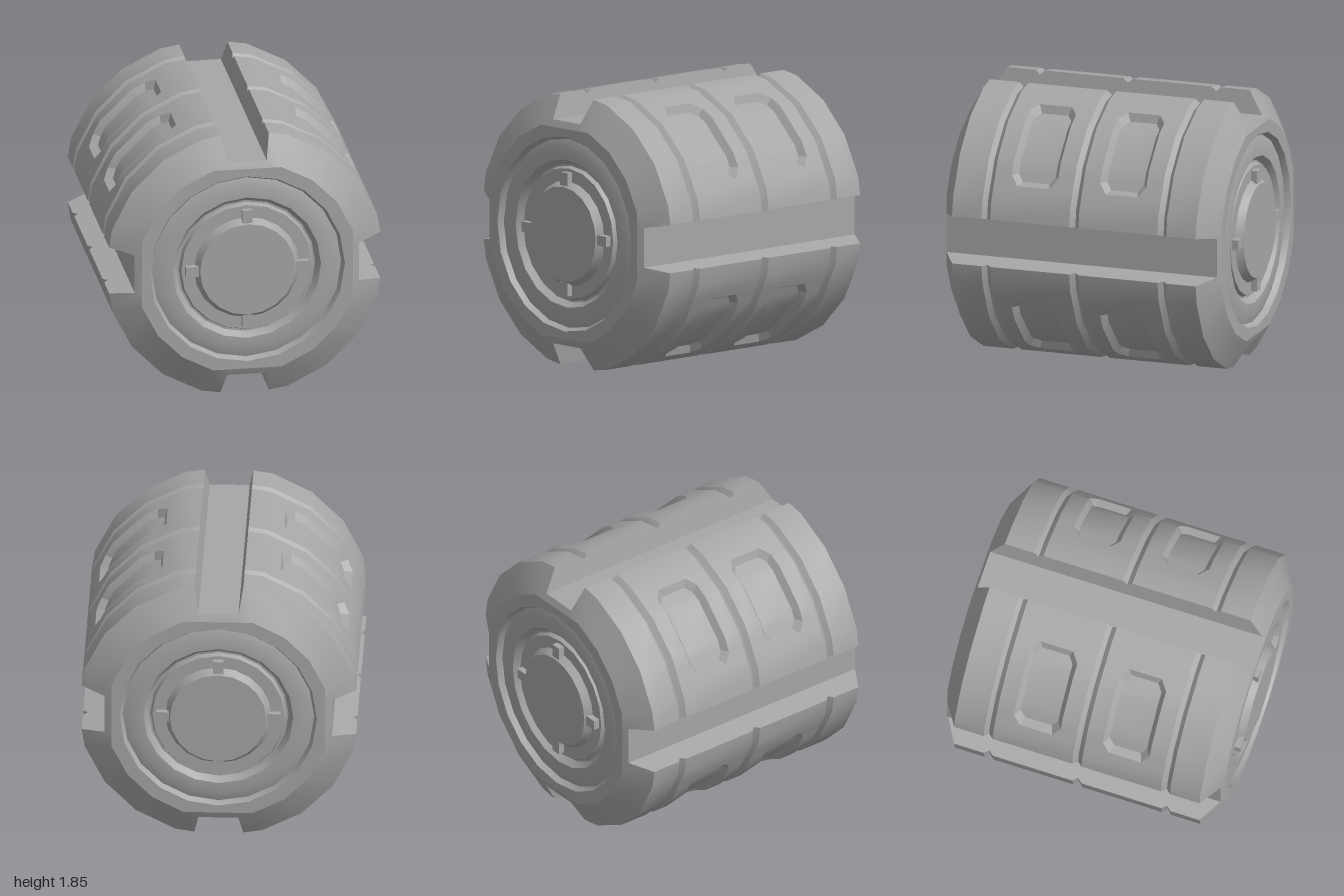
import * as THREE from 'three';
import { toCreasedNormals } from 'three/addons/utils/BufferGeometryUtils.js';

const R = 0.95, END_R = 0.755, END_Z = 0.985, RIM = 0.665, SIDES = 20;
const ARC = [10.1, 18, 36, 54, 72, 79.9]; // one quadrant between two channels, in degrees
const FLOOR_X = 0.135, FLOOR_R = 0.765;   // channel floor half width and radius
const V = (x, y, z) => new THREE.Vector3(x, y, z);

// Point on the twenty-sided barrel at an angle in degrees
function onBarrel(deg, radius, z) {
  const local = ((deg % 18) + 18) % 18 - 9;
  const r = radius * Math.cos(Math.PI / SIDES) / Math.cos(local * Math.PI / 180);
  const a = deg * Math.PI / 180;
  return V(r * Math.cos(a), r * Math.sin(a), z);
}

// Repeat the points of one quadrant around the axis
function fourTimes(points) {
  const ring = [];
  for (let q = 0; q < 4; q++) {
    for (const p of points) ring.push(p.clone().applyAxisAngle(V(0, 0, 1), q * Math.PI / 2));
  }
  return ring;
}

// Collects quads and turns them into a geometry with sharp creases
function quadBuilder() {
  const data = [];
  const tri = (a, b, c) => {
    const area = b.clone().sub(a).cross(c.clone().sub(a)).length();
    if (area > 1e-7) for (const p of [a, b, c]) data.push(p.x, p.y, p.z);
  };
  return {
    quad(a, b, c, d) { tri(a, b, c); tri(a, c, d); },
    build() {
      const g = new THREE.BufferGeometry();
      g.setAttribute('position', new THREE.Float32BufferAttribute(data, 3));
      return toCreasedNormals(g, 0.42);
    },
  };
}

const fullRing = (z, radius) => fourTimes([
  ...ARC.map((a) => onBarrel(a, radius, z)),
  V(FLOOR_X, FLOOR_R, z), V(-FLOOR_X, FLOOR_R, z),
]);

// Sloped end: the channel runs out through the chamfer
function endRing(s, stage) {
  const flat = END_R * Math.cos(Math.PI / 10);
  const r = stage === 0 ? FLOOR_R : flat;
  const z = s * (stage === 0 ? 0.965 : END_Z);
  const left = V(FLOOR_X, r, z), right = V(-FLOOR_X, r, z);
  const start = V(r, FLOOR_X, z);
  return fourTimes([
    start, ...ARC.slice(1, 5).map((a) => onBarrel(a, END_R, s * END_Z)), left, left, right,
  ]);
}

// Barrel with V grooves, lengthwise channels and chamfered ends
function bodyGeometry() {
  const b = quadBuilder();
  const half = [[0.87, R], [0.66, R], [0.63, R - 0.03], [0.597, R], [0.033, R]];
  const stations = [...half, [0, R - 0.03], ...half.slice().reverse().map(([z, r]) => [-z, r])];
  const rings = [
    endRing(1, 1), endRing(1, 0),
    ...stations.map(([z, r]) => fullRing(z, r)),
    endRing(-1, 0), endRing(-1, 1),
  ];
  for (let k = 0; k + 1 < rings.length; k++) {
    const hi = rings[k], lo = rings[k + 1], n = hi.length;
    const pocketed = k === 5 || k === 8; // the two bands filled by pocket panels
    for (let i = 0; i < n; i++) {
      if (pocketed && i % 8 < 5) continue;
      const j = (i + 1) % n;
      b.quad(hi[i], lo[i], lo[j], hi[j]);
    }
  }
  return b.build();
}

// Curved panel with a sunken eight-sided pocket
function panelGeometry() {
  const b = quadBuilder();
  const edge = 0.282;
  const outer = [[25, 0.115], [29.5, 0.165], [36, 0.165], [54, 0.165], [60.5, 0.165], [65, 0.115]];
  const inner = [[27.5, 0.095], [31, 0.132], [36, 0.132], [54, 0.132], [59, 0.132], [62.5, 0.095]];
  const O = (a, z) => onBarrel(a, R, z);
  const I = (a, z) => onBarrel(a, R - 0.045, z);
  for (const [a, c] of [[10.1, 18], [18, 25], [65, 72], [72, 79.9]]) {
    b.quad(O(a, edge), O(a, -edge), O(c, -edge), O(c, edge));
  }
  for (let i = 0; i < 5; i++) {
    const [a, h] = outer[i], [c, k] = outer[i + 1];
    const [d, m] = inner[i], [e, n] = inner[i + 1];
    b.quad(O(a, edge), O(a, h), O(c, k), O(c, edge));
    b.quad(O(a, -h), O(a, -edge), O(c, -edge), O(c, -k));
    b.quad(O(a, h), I(d, m), I(e, n), O(c, k));
    b.quad(I(d, -m), O(a, -h), O(c, -k), I(e, -n));
    b.quad(I(d, m), I(d, -m), I(e, -n), I(e, n));
  }
  const [a, h] = outer[0], [d, m] = inner[0], [c, k] = outer[5], [e, n] = inner[5];
  b.quad(O(a, h), O(a, -h), I(d, -m), I(d, m));
  b.quad(I(e, n), I(e, -n), O(c, -k), O(c, k));
  return b.build();
}

// Flat end face around the recessed rings
function endFaceGeometry() {
  const angles = [18, 36, 54, 72];
  const outline = fourTimes(angles.map((a) => onBarrel(a, END_R, 0)));
  const shape = new THREE.Shape(outline.map((p) => new THREE.Vector2(p.x, p.y)));
  const hole = [];
  for (let i = 0; i < SIDES; i++) {
    const p = onBarrel(i * 18, RIM, 0);
    hole.push(new THREE.Vector2(p.x, p.y));
  }
  shape.holes.push(new THREE.Path(hole));
  return new THREE.ShapeGeometry(shape).translate(0, 0, END_Z);
}

// Stepped rings and the raised centre disc
function endRingsGeometry() {
  const profile = [
    [RIM, END_Z], [0.645, 0.945], [0.585, 0.965], [0.505, 0.965], [0.472, 0.92],
    [0.458, 0.92], [0.445, 0.95], [0.358, 0.95], [0.325, 1], [0, 1],
  ].map(([r, z]) => new THREE.Vector2(r, z));
  const g = new THREE.LatheGeometry(profile, SIDES).rotateX(Math.PI / 2);
  return toCreasedNormals(g, 0.42);
}

export function createModel() {
  const model = new THREE.Group();
  model.name = 'barrel';
  const grey = new THREE.MeshStandardMaterial({ color: 0xa6a6a6 });
  grey.name = 'grey';
  const add = (parent, name, geometry) => {
    const mesh = new THREE.Mesh(geometry, grey);
    mesh.name = name;
    parent.add(mesh);
    return mesh;
  };

  add(model, 'body', bodyGeometry());

  // Eight pocket panels in two rows
  const panel = panelGeometry();
  for (const z of [0.315, -0.315]) {
    for (let q = 0; q < 4; q++) {
      const mesh = add(model, 'pocketPanel', panel);
      mesh.position.z = z;
      mesh.rotation.z = q * Math.PI / 2;
    }
  }

  // Matching ends, each with four small lugs
  const face = endFaceGeometry(), rings = endRingsGeometry();
  const lug = new THREE.BoxGeometry(0.09, 0.07, 0.055);
  for (const turn of [0, Math.PI]) {
    const end = new THREE.Group();
    end.name = turn ? 'backEnd' : 'frontEnd';
    end.rotation.y = turn;
    add(end, 'endFace', face);
    add(end, 'endRings', rings);
    for (let q = 0; q < 4; q++) {
      const a = q * Math.PI / 2;
      const mesh = add(end, 'lug', lug);
      mesh.position.set(0.375 * Math.cos(a), 0.375 * Math.sin(a), 0.9645);
      mesh.rotation.z = a;
    }
    model.add(end);
  }

  for (const part of model.children) part.position.y += 0.924;
  return model;
}
